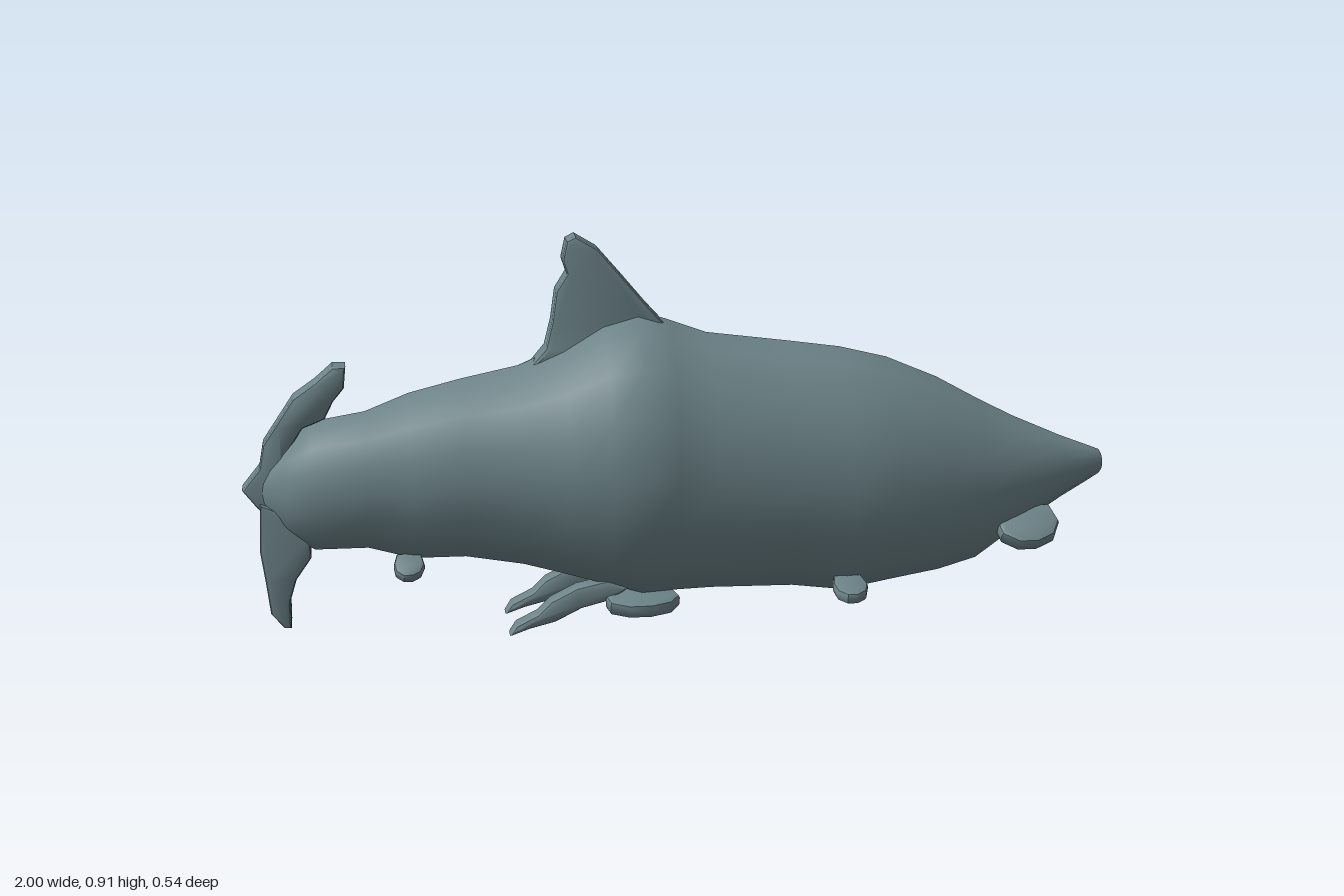
import * as THREE from 'three';
import { toCreasedNormals } from 'three/addons/utils/BufferGeometryUtils.js';

const skin = new THREE.MeshStandardMaterial({ color: 0x6c8388 });
skin.name = 'slate grey skin';

// Body stations: x, top y, bottom y, half width
const STATIONS = [
  [-0.955, 0.4, 0.29, 0.035], [-0.9, 0.45, 0.235, 0.075], [-0.84, 0.5, 0.2, 0.117],
  [-0.72, 0.52, 0.2, 0.125], [-0.62, 0.56, 0.172, 0.15], [-0.5, 0.59, 0.172, 0.165],
  [-0.37, 0.617, 0.15, 0.19], [-0.27, 0.66, 0.122, 0.22], [-0.18, 0.715, 0.095, 0.25],
  [-0.1, 0.737, 0.072, 0.27], [-0.03, 0.715, 0.076, 0.258], [0.06, 0.682, 0.078, 0.239],
  [0.25, 0.657, 0.075, 0.228], [0.37, 0.64, 0.06, 0.23], [0.48, 0.613, 0.08, 0.213],
  [0.6, 0.562, 0.1, 0.187], [0.69, 0.512, 0.125, 0.158], [0.78, 0.465, 0.19, 0.127],
  [0.9, 0.412, 0.265, 0.072], [0.97, 0.385, 0.303, 0.035], [0.995, 0.375, 0.318, 0.025],
  [1, 0.365, 0.325, 0.018],
];

// Sixteen-sided elliptical sections joined along x
function bodyGeometry() {
  const sides = 16, pos = [], idx = [];
  STATIONS.forEach(([x, top, bottom, w]) => {
    for (let j = 0; j < sides; j++) {
      const a = (j / sides) * Math.PI * 2;
      pos.push(x, (top + bottom) / 2 + Math.cos(a) * (top - bottom) / 2, Math.sin(a) * w);
    }
  });
  const last = STATIONS.length - 1;
  for (let i = 0; i < last; i++) {
    for (let j = 0; j < sides; j++) {
      const k = (j + 1) % sides, a = i * sides, b = a + sides;
      idx.push(a + j, a + k, b + j, a + k, b + k, b + j);
    }
  }
  // End caps
  const tail = pos.length / 3, nose = tail + 1;
  pos.push(-0.96, 0.345, 0, 1, 0.345, 0);
  for (let j = 0; j < sides; j++) {
    const k = (j + 1) % sides;
    idx.push(tail, k, j, nose, last * sides + j, last * sides + k);
  }
  const g = new THREE.BufferGeometry();
  g.setAttribute('position', new THREE.Float32BufferAttribute(pos, 3));
  g.setIndex(idx);
  g.computeVertexNormals();
  return g;
}

// Rounded slab: outline in (x, s), where s runs along dir = [dy, dz] from origin = [y, z]
function fin(name, outline, thick, origin = [0, 0], dir = [1, 0], bevel = 0.01) {
  const shape = new THREE.Shape(outline.map(([x, s]) => new THREE.Vector2(x, s)));
  const geo = new THREE.ExtrudeGeometry(shape, {
    depth: thick - 2 * bevel, bevelThickness: bevel, bevelSize: bevel,
    bevelOffset: -bevel, bevelSegments: 2,
  });
  geo.translate(0, 0, bevel - thick / 2);
  const d = new THREE.Vector3(0, dir[0], dir[1]).normalize();
  const m = new THREE.Matrix4().makeBasis(
    new THREE.Vector3(1, 0, 0), d, new THREE.Vector3(0, -d.z, d.y));
  m.setPosition(0, origin[0], origin[1]);
  const mesh = new THREE.Mesh(toCreasedNormals(geo.applyMatrix4(m), 0.7), skin);
  mesh.name = name;
  return mesh;
}

// Leaf outline centred on x, running out to length
const leaf = (x, half, length) => [
  [x - half * 0.8, -0.01], [x + half * 0.8, -0.01], [x + half, length * 0.4],
  [x + half * 0.75, length * 0.8], [x + half * 0.2, length], [x - half * 0.4, length],
  [x - half * 0.9, length * 0.75], [x - half, length * 0.35],
];

export function createModel() {
  const group = new THREE.Group();
  group.name = 'fish';
  const body = new THREE.Mesh(bodyGeometry(), skin);
  body.name = 'body';
  group.add(body);

  // Dorsal fin
  group.add(fin('dorsalFin', [
    [-0.36, 0.6], [-0.03, 0.66], [-0.03, 0.7], [-0.08, 0.755], [-0.13, 0.815], [-0.19, 0.885],
    [-0.24, 0.915], [-0.26, 0.905], [-0.27, 0.86], [-0.26, 0.83], [-0.285, 0.79],
    [-0.295, 0.72], [-0.31, 0.66],
  ], 0.07));

  // Tail: upper lobe with rear point
  group.add(fin('upperTailFin', [
    [-1, 0.35], [-0.965, 0.305], [-0.93, 0.27], [-0.9, 0.35], [-0.9, 0.43], [-0.86, 0.49],
    [-0.81, 0.51], [-0.79, 0.55], [-0.765, 0.58], [-0.76, 0.63], [-0.79, 0.63], [-0.83, 0.595],
    [-0.88, 0.56], [-0.92, 0.5], [-0.95, 0.455], [-0.96, 0.4],
  ], 0.07));

  // Paired parts, mirrored across z
  for (const s of [1, -1]) {
    const side = s > 0 ? 'Front' : 'Back';
    group.add(fin('lowerTailFin' + side, [
      [-0.96, 0.32], [-0.965, 0.21], [-0.955, 0.14], [-0.945, 0.06], [-0.915, 0.025],
      [-0.9, 0.025], [-0.9, 0.09], [-0.885, 0.14], [-0.85, 0.19], [-0.85, 0.24], [-0.91, 0.3],
    ], 0.046, [0, s * 0.026]));
    group.add(fin('trailingFin' + side, [
      [-0.405, 0.005], [-0.36, 0.02], [-0.3, 0.035], [-0.24, 0.065], [-0.18, 0.08],
      [-0.13, 0.11], [-0.18, 0.13], [-0.25, 0.115], [-0.31, 0.085], [-0.34, 0.055], [-0.39, 0.03],
    ], 0.055, [0, s * 0.082]));
    group.add(fin('bellyFin' + side, leaf(-0.1, 0.085, 0.07), 0.035,
      [0.085, s * 0.083], [-0.3, s], 0.009));
    group.add(fin('midFin' + side, leaf(0.37, 0.04, 0.09), 0.028,
      [0.119, s * 0.145], [-0.18, s], 0.009));
    group.add(fin('frontFin' + side, leaf(0.8, 0.075, 0.1), 0.04,
      [0.248, s * 0.07], [-0.75, s], 0.012));
    group.add(fin('rearFin' + side, leaf(-0.63, 0.035, 0.06), 0.028,
      [0.185, s * 0.065], [-0.6, s], 0.009));
  }
  return group;
}
